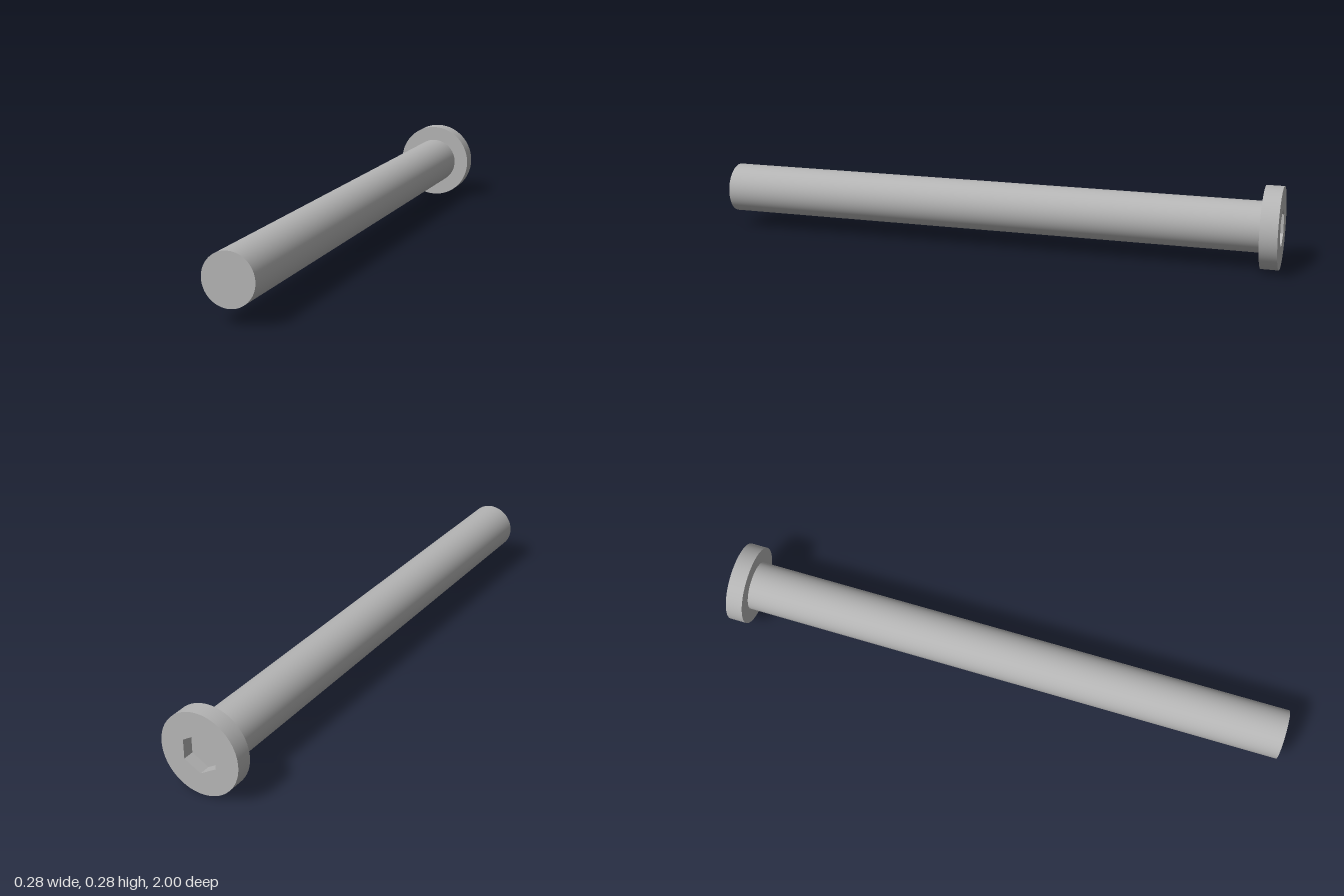
import * as THREE from 'three';

const HEAD_R = 0.141, SHAFT_R = 0.087, HEAD_T = 0.06;
const SOCKET_R = 0.067, SOCKET_D = 0.04, SEG = 96;

export function createModel() {
  const steel = new THREE.MeshStandardMaterial({ color: 0xb4b4b4, side: THREE.DoubleSide });
  steel.name = 'steel grey';

  const screw = new THREE.Group();
  screw.name = 'screw';
  const head = new THREE.Group();
  head.name = 'head';
  screw.add(head);

  const add = (parent, name, geometry, z) => {
    const mesh = new THREE.Mesh(geometry, steel);
    mesh.name = name;
    mesh.position.z = z;
    parent.add(mesh);
  };
  // cylinder lying along z
  const rod = (r, length, sides, open) =>
    new THREE.CylinderGeometry(r, r, length, sides, 1, open).rotateX(Math.PI / 2);

  // shaft with its flat tip
  add(screw, 'shaft', rod(SHAFT_R, 2 - HEAD_T, SEG, true), HEAD_T / 2);
  add(screw, 'shaftTip', new THREE.CircleGeometry(SHAFT_R, SEG), 1);

  // head rim and underside
  add(head, 'headRim', rod(HEAD_R, HEAD_T, SEG, true), -1 + HEAD_T / 2);
  add(head, 'headUnderside', new THREE.RingGeometry(SHAFT_R, HEAD_R, SEG), -1 + HEAD_T);

  // head face, pierced by a hexagon with corners up and down
  const face = new THREE.Shape().absarc(0, 0, HEAD_R, 0, Math.PI * 2, false);
  const corners = [];
  for (let i = 0; i < 6; i++) {
    const a = Math.PI / 2 - i * Math.PI / 3;
    corners.push(new THREE.Vector2(Math.cos(a), Math.sin(a)).multiplyScalar(SOCKET_R));
  }
  face.holes.push(new THREE.Path(corners));
  add(head, 'headFace', new THREE.ShapeGeometry(face, SEG).rotateY(Math.PI), -1);

  // hexagonal socket: flat walls and floor
  const walls = rod(SOCKET_R, SOCKET_D, 6, true).toNonIndexed();
  walls.computeVertexNormals();
  add(head, 'socketWalls', walls, -1 + SOCKET_D / 2);
  const floor = new THREE.CircleGeometry(SOCKET_R, 6, Math.PI / 2).rotateY(Math.PI);
  add(head, 'socketFloor', floor, -1 + SOCKET_D);

  screw.position.y = HEAD_R;
  const model = new THREE.Group();
  model.name = 'socketHeadScrew';
  model.add(screw);
  return model;
}
